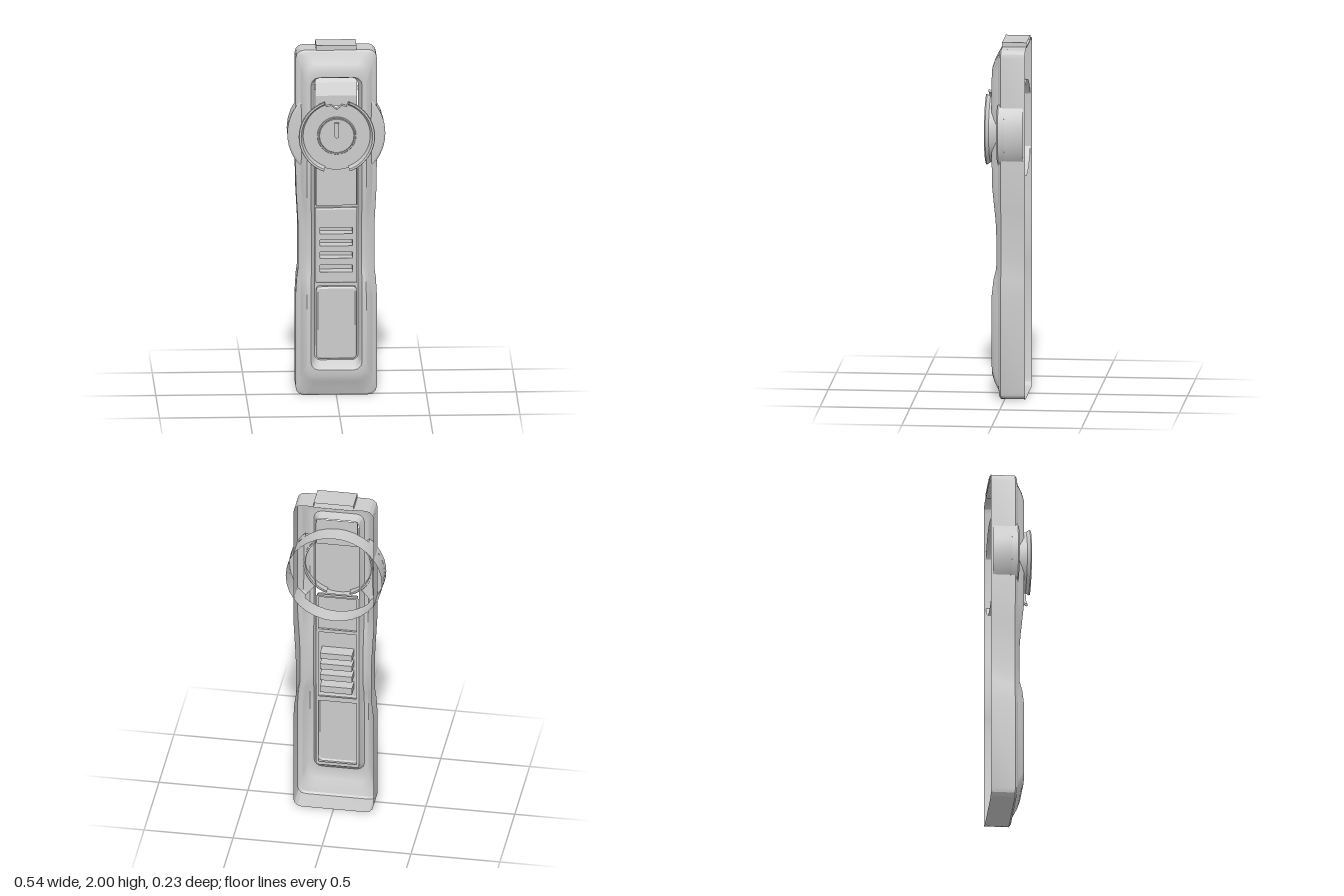
import * as THREE from 'three';
import { mergeGeometries, toCreasedNormals } from 'three/addons/utils/BufferGeometryUtils.js';

const material = new THREE.MeshStandardMaterial({ color: 0xcccccc, side: THREE.DoubleSide });
const BENDS = [0.58, 0.67, 0.73, 0.84, 0.95, 1.02, 1.08, 1.2, 1.32];
const smooth = THREE.MathUtils.smoothstep;

// 1 at the waist of the handle, 0 above and below
const waist = (y) => smooth(y, 0.62, 0.74) * (1 - smooth(y, 0.92, 1.25));

// One closed outline: up the right side, down the left
function ring([hw, y0, y1, r, z, dip = 0, pinch = 0], ys) {
  const right = [];
  const arc = (cy, from) => {
    for (let i = 0; i <= 3; i++) {
      const a = from + (i / 3) * (Math.PI / 2);
      right.push([hw - r + r * Math.cos(a), cy + r * Math.sin(a)]);
    }
  };
  arc(y0 + r, -Math.PI / 2);
  ys.forEach((y) => right.push([hw, y]));
  arc(y1 - r, 0);
  const pts = right.map(([x, y]) => [x - pinch * waist(y), y, z - dip * waist(y)]);
  return pts.concat(pts.slice().reverse().map(([x, y, zz]) => [-x, y, zz]));
}

// Skin through outlines [halfWidth, bottom, top, cornerRadius, z, dip, pinch]
function loft(rings, cap = false) {
  const lo = Math.max(...rings.map((r) => r[1] + r[3]));
  const hi = Math.min(...rings.map((r) => r[2] - r[3]));
  const ys = BENDS.filter((y) => y > lo && y < hi);
  const loops = rings.map((r) => ring(r, ys));
  const n = loops[0].length;
  const index = [];
  const quad = (a, b, c, d) => index.push(a, b, c, a, c, d);
  for (let k = 0; k < loops.length - 1; k++)
    for (let i = 0; i < n; i++) {
      const j = (i + 1) % n;
      quad(k * n + i, k * n + j, (k + 1) * n + j, (k + 1) * n + i);
    }
  if (cap) {
    const o = (loops.length - 1) * n;
    for (let i = 0; i < n / 2 - 1; i++) quad(o + i, o + i + 1, o + n - 2 - i, o + n - 1 - i);
  }
  const g = new THREE.BufferGeometry();
  g.setAttribute('position', new THREE.Float32BufferAttribute(loops.flat(2), 3));
  g.setIndex(index);
  return toCreasedNormals(g, 0.5);
}

const rectShape = (hw, y0, y1) => new THREE.Shape([
  new THREE.Vector2(-hw, y0), new THREE.Vector2(hw, y0),
  new THREE.Vector2(hw, y1), new THREE.Vector2(-hw, y1)]);

// Hollow plate: a face at z1 with a wall running back to z0
function plate(shape, z0, z1) {
  const pts = shape.getPoints(24);
  const pos = [];
  pts.forEach((p, i) => {
    const q = pts[(i + 1) % pts.length];
    pos.push(p.x, p.y, z0, q.x, q.y, z0, q.x, q.y, z1, p.x, p.y, z0, q.x, q.y, z1, p.x, p.y, z1);
  });
  const wall = new THREE.BufferGeometry();
  wall.setAttribute('position', new THREE.Float32BufferAttribute(pos, 3));
  const face = new THREE.ShapeGeometry(shape, 24).toNonIndexed().translate(0, 0, z1);
  face.deleteAttribute('uv');
  face.deleteAttribute('normal');
  return toCreasedNormals(mergeGeometries([wall, face]), 0.5);
}

// Lathe about the z axis; angle 0 points down, PI / 2 to +x
function turned(profile, start = 0, length = Math.PI * 2, segments = 32) {
  const pts = profile.map(([r, z]) => new THREE.Vector2(r, z));
  const g = new THREE.LatheGeometry(pts, segments, start, length).rotateX(Math.PI / 2);
  return toCreasedNormals(g, 0.5);
}

export function createModel() {
  const model = new THREE.Group();
  const add = (name, geometry, parent = model) => {
    const mesh = new THREE.Mesh(geometry, material);
    mesh.name = name;
    parent.add(mesh);
    return mesh;
  };

  // Open-backed casing with a bevelled front and a long recess
  add('casing', loft([
    [0.225, 0, 1.975, 0.045, -0.115, 0, 0.014],
    [0.225, 0, 1.975, 0.045, 0.02, 0, 0.014],
    [0.215, 0.01, 1.965, 0.045, 0.03, 0, 0.014],
    [0.2, 0.04, 1.94, 0.06, 0.036, 0, 0.014],
    [0.182, 0.085, 1.9, 0.065, 0.062, 0.016, 0.012],
    [0.165, 0.125, 1.86, 0.06, 0.075, 0.025, 0.008],
    [0.142, 0.155, 1.83, 0.045, 0.075, 0.025, 0.003],
    [0.132, 0.17, 1.825, 0.04, 0.062, 0.025],
    [0.12, 0.2, 1.815, 0.03, 0.02],
  ]));
  add('topLip', plate(rectShape(0.112, 1.97, 2), -0.115, 0.022));

  // Recess floor with openings behind the panels
  const floor = rectShape(0.12, 0.2, 1.31);
  [[0.22, 0.62], [0.65, 1.07], [1.09, 1.3]].forEach(([a, b]) => floor.holes.push(rectShape(0.108, a, b)));
  add('recessFloor', new THREE.ShapeGeometry(floor).translate(0, 0, 0.02));

  // Raised panels inside the recess
  add('lowerPanel', loft([
    [0.112, 0.212, 0.625, 0.02, 0.02], [0.112, 0.212, 0.625, 0.02, 0.045],
    [0.103, 0.222, 0.615, 0.018, 0.052]], true));
  add('upperPanel', loft([
    [0.115, 1.085, 1.32, 0.005, 0.02], [0.112, 1.088, 1.32, 0.005, 0.035]], true));
  add('gripFrame', loft([
    [0.115, 0.645, 1.075, 0.004, 0.02], [0.115, 0.645, 1.075, 0.004, 0.038],
    [0.105, 0.655, 1.065, 0.004, 0.044]]));

  // Grip face and its four finger slots, sunk towards the back
  const gripFace = rectShape(0.105, 0.655, 1.065);
  const slots = [0.73, 0.805, 0.876, 0.945].map((y, i) => rectShape(0.09, y - (i ? 0.018 : 0.022), y + 0.018));
  gripFace.holes.push(...slots);
  add('gripFace', new THREE.ShapeGeometry(gripFace).translate(0, 0, 0.044));
  slots.forEach((s) => add('gripSlot', plate(s, 0.044, -0.03)));

  // Sloped catch above the dial
  const catchShape = new THREE.Shape([[1.66, 0.005], [1.66, 0.05], [1.72, 0.05], [1.79, 0.022], [1.82, 0.005]]
    .map(([y, z]) => new THREE.Vector2(-z, y)));
  add('catch', new THREE.ExtrudeGeometry(catchShape, { depth: 0.23, bevelEnabled: false })
    .rotateY(Math.PI / 2).translate(-0.115, 0, 0));

  // Dial assembly
  const dial = new THREE.Group();
  dial.name = 'dial';
  dial.position.y = 1.5;
  model.add(dial);
  add('dialHousing', turned([[0.27, -0.105], [0.27, 0]]), dial);
  for (const side of [1, -1]) {
    add('sideGuard', turned([[0.27, 0], [0.272, 0.034], [0.262, 0.042], [0.198, 0.047]],
      side * Math.PI / 2 - 0.85, 1.7, 14), dial);
  }

  // Dial face with a double notch at the top
  const face = new THREE.Shape();
  face.absarc(0, 0, 0.195, Math.PI / 2 + 0.37, Math.PI * 2.5 - 0.37, false);
  face.lineTo(0.055, 0.165);
  face.lineTo(0.03, 0.172);
  face.lineTo(0, 0.148);
  face.lineTo(-0.03, 0.172);
  face.lineTo(-0.055, 0.165);
  add('dialFace', plate(face, 0.04, 0.083), dial);

  // Flared rim in two arcs with closed ends
  const rim = [[0.186, 0.045], [0.198, 0.045], [0.198, 0.09], [0.212, 0.108], [0.209, 0.115], [0.198, 0.114], [0.186, 0.083]];
  const rimEnd = new THREE.Shape(rim.map(([r, z]) => new THREE.Vector2(r, z)));
  for (const side of [1, -1]) {
    const start = side > 0 ? 0.35 : Math.PI + 0.34;
    const length = Math.PI - 0.69;
    add('dialRim', turned([...rim, rim[0]], start, length, 20), dial);
    for (const a of [start, start + length]) {
      const end = new THREE.ShapeGeometry(rimEnd).rotateX(Math.PI / 2).rotateZ(a - Math.PI / 2);
      add('rimEnd', end, dial);
    }
  }

  // Centre knob and its pointer
  add('knob', turned([[0.108, 0.083], [0.106, 0.088], [0.1, 0.088], [0.098, 0.085], [0.095, 0.09], [0, 0.09]]), dial);
  const pointer = new THREE.Shape();
  pointer.absarc(0, 0.002, 0.012, Math.PI, Math.PI * 2, false);
  pointer.lineTo(0.012, 0.076);
  pointer.lineTo(-0.012, 0.076);
  add('pointer', plate(pointer, 0.085, 0.107), dial);

  return model;
}
